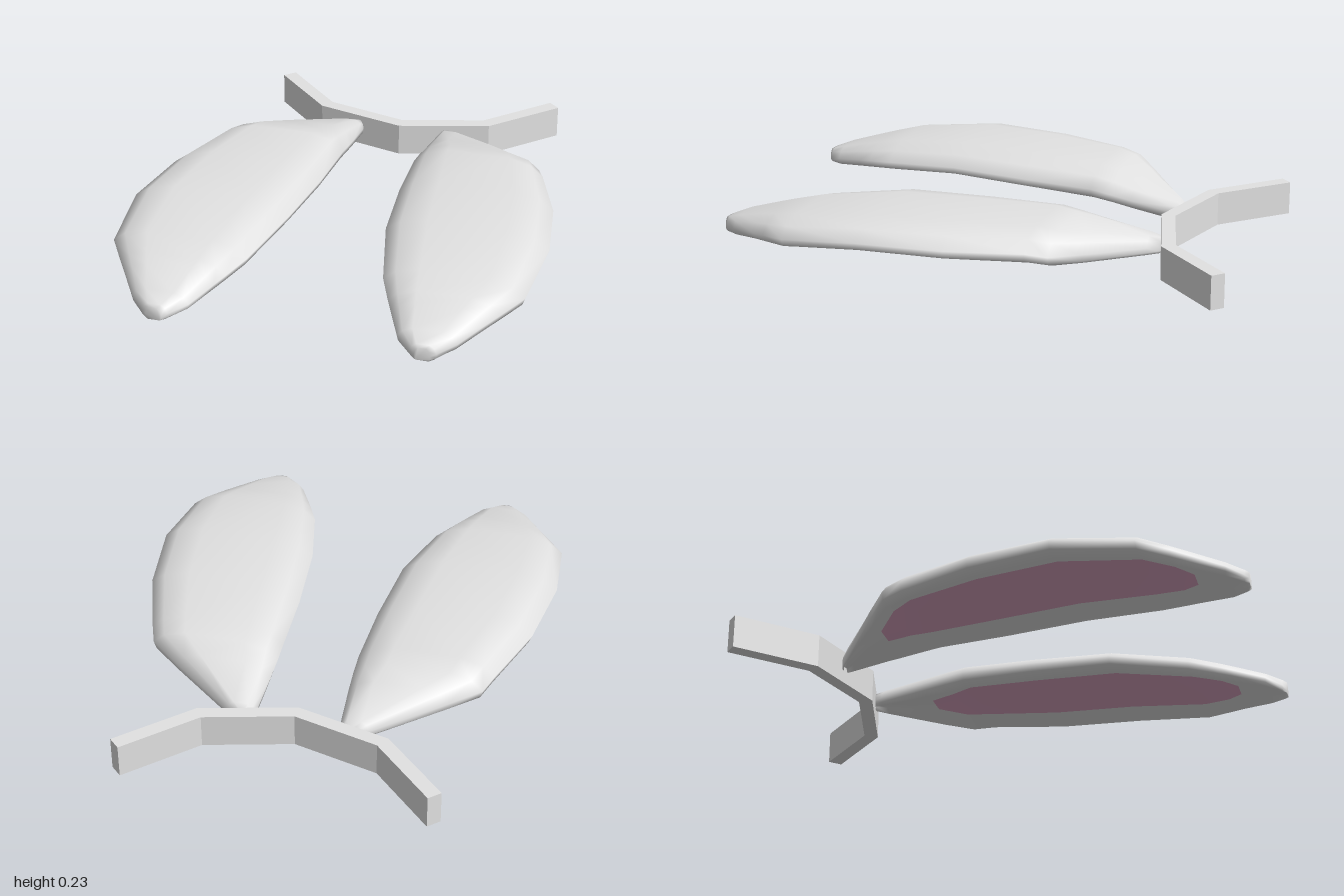
import * as THREE from 'three';

const white = new THREE.MeshStandardMaterial({ color: 0xe2e2e2 });
white.name = 'soft white';
const pink = new THREE.MeshStandardMaterial({ color: 0xdca6c2 });
pink.name = 'inner ear pink';

// ear stations from root to tip: z, inner x, outer x, bottom y, top y, half width of lining
const STATIONS = [
  [-0.665, 0.168, 0.22, 0.05, 0.11, 0.25],
  [-0.63, 0.163, 0.275, 0.055, 0.125, 0.25],
  [-0.45, 0.153, 0.53, 0.08, 0.18, 0.12],
  [-0.36, 0.15, 0.65, 0.094, 0.205, 0.22],
  [-0.28, 0.15, 0.68, 0.106, 0.222, 0.27],
  [0, 0.16, 0.775, 0.118, 0.23, 0.28],
  [0.32, 0.19, 0.82, 0.13, 0.235, 0.28],
  [0.63, 0.262, 0.793, 0.103, 0.205, 0.27],
  [0.74, 0.308, 0.725, 0.091, 0.182, 0.23],
  [0.8, 0.335, 0.686, 0.084, 0.168, 0.12],
  [0.92, 0.39, 0.61, 0.069, 0.138, 0.25],
  [0.98, 0.45, 0.55, 0.061, 0.117, 0.25],
  [0.995, 0.47, 0.53, 0.06, 0.11, 0.25],
];
const LINING_FROM = 2, LINING_TO = 9;

// cross-section: dished underside, rounded rims, broad flat top
function section(p) {
  return [[0.1, 0], [0.5 - p, 0.28], [0.5 + p, 0.28], [0.9, 0], [0.98, 0.15], [1, 0.42],
    [0.91, 0.78], [0.74, 1], [0.26, 1], [0.09, 0.78], [0, 0.42], [0.02, 0.15]];
}

function earGeometry(side) {
  const position = [], body = [], lining = [];
  const n = section(0.2).length, last = STATIONS.length - 1;
  for (const [z, x0, x1, y0, y1, p] of STATIONS) {
    for (const [u, v] of section(p)) {
      position.push(side * (x0 + (x1 - x0) * u), y0 + (y1 - y0) * v, z);
    }
  }
  const tri = (list, a, b, c) => (side > 0 ? list.push(a, b, c) : list.push(a, c, b));
  for (let i = 0; i < last; i++) {
    for (let j = 0; j < n; j++) {
      const k = (j + 1) % n;
      const a = i * n + j, b = i * n + k, c = b + n, d = a + n;
      const list = j === 1 && i >= LINING_FROM && i < LINING_TO ? lining : body;
      tri(list, a, b, c);
      tri(list, a, c, d);
    }
  }
  // close the root and the tip
  for (let j = 1; j < n - 1; j++) {
    tri(body, 0, j + 1, j);
    tri(body, last * n, last * n + j, last * n + j + 1);
  }
  const geometry = new THREE.BufferGeometry();
  geometry.setAttribute('position', new THREE.Float32BufferAttribute(position, 3));
  geometry.setIndex([...body, ...lining]);
  geometry.addGroup(0, body.length, 0);
  geometry.addGroup(body.length, lining.length, 1);
  geometry.computeVertexNormals();
  return geometry;
}

// bent band, drawn flat in (x, -z) and raised
function bandGeometry() {
  const half = [[0, 0.612], [0.367, 0.71], [0.617, 0.96], [0.575, 1], [0.335, 0.758], [0, 0.668]];
  const mirrored = half.slice(1, 5).reverse().map(([x, y]) => [-x, y]);
  const shape = new THREE.Shape([...half, ...mirrored].map(([x, y]) => new THREE.Vector2(x, y)));
  const geometry = new THREE.ExtrudeGeometry(shape, { depth: 0.132, bevelEnabled: false });
  return geometry.rotateX(-Math.PI / 2);
}

export function createModel() {
  const model = new THREE.Group();
  model.name = 'earsOnBand';
  for (const [name, side] of [['leftEar', 1], ['rightEar', -1]]) {
    const ear = new THREE.Mesh(earGeometry(side), [white, pink]);
    ear.name = name;
    model.add(ear);
  }
  const band = new THREE.Mesh(bandGeometry(), white);
  band.name = 'band';
  model.add(band);
  return model;
}
